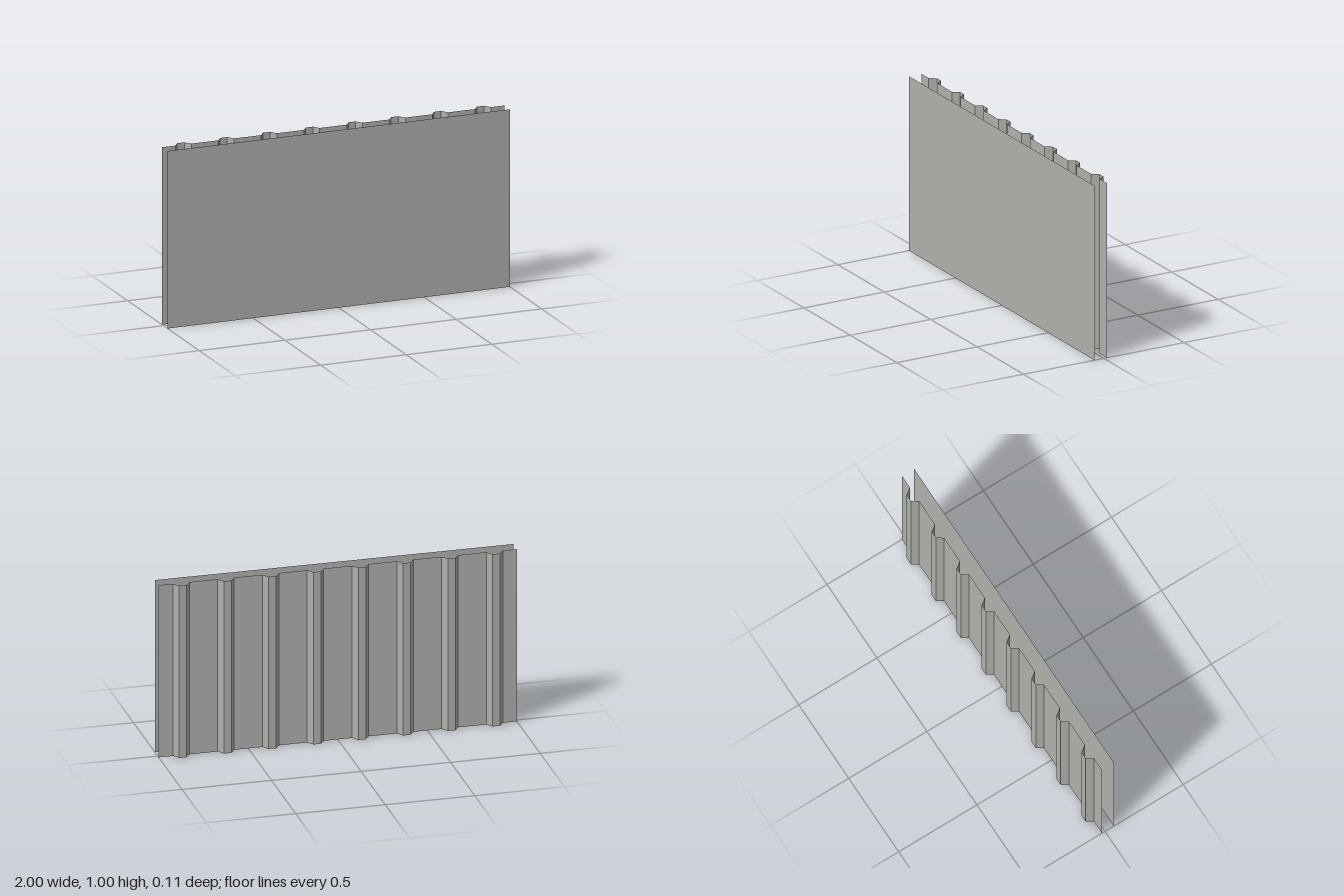
import * as THREE from 'three';

const HEIGHT = 1;
const FRONT_Z = 0.057;  // flat facing sheet
const BASE_Z = -0.02;   // valley of the ribbed sheet
const RIB_Z = -0.057;   // crest of the ribs
const RIBS = 8;

// Vertical sheet that follows a plan outline of [x, z] points, with crisp folds
function foldedSheet(points) {
  const positions = [];
  for (let i = 0; i < points.length - 1; i++) {
    const [x0, z0] = points[i];
    const [x1, z1] = points[i + 1];
    positions.push(
      x0, 0, z0, x1, 0, z1, x1, HEIGHT, z1,
      x0, 0, z0, x1, HEIGHT, z1, x0, HEIGHT, z0,
    );
  }
  const geometry = new THREE.BufferGeometry();
  geometry.setAttribute('position', new THREE.Float32BufferAttribute(positions, 3));
  geometry.computeVertexNormals();
  return geometry;
}

export function createModel() {
  const group = new THREE.Group();
  group.name = 'claddingPanel';
  const metal = new THREE.MeshStandardMaterial({ color: 0xb0b0ac, side: THREE.DoubleSide });
  metal.name = 'greyMetal';

  // Flat facing sheet
  const front = new THREE.Mesh(foldedSheet([[-1, FRONT_Z], [1, FRONT_Z]]), metal);
  front.name = 'frontSheet';
  group.add(front);

  // Ribbed sheet: evenly spaced trapezoid ribs pointing backwards, running +x to -x
  const outline = [[1, BASE_Z]];
  const pitch = 2 / RIBS;
  for (let i = 0; i < RIBS; i++) {
    const x = 1 - pitch * (i + 0.5);
    outline.push([x + 0.046, BASE_Z], [x + 0.021, RIB_Z], [x - 0.021, RIB_Z], [x - 0.046, BASE_Z]);
  }
  outline.push([-1, BASE_Z]);
  const back = new THREE.Mesh(foldedSheet(outline), metal);
  back.name = 'ribbedBackSheet';
  group.add(back);

  return group;
}
